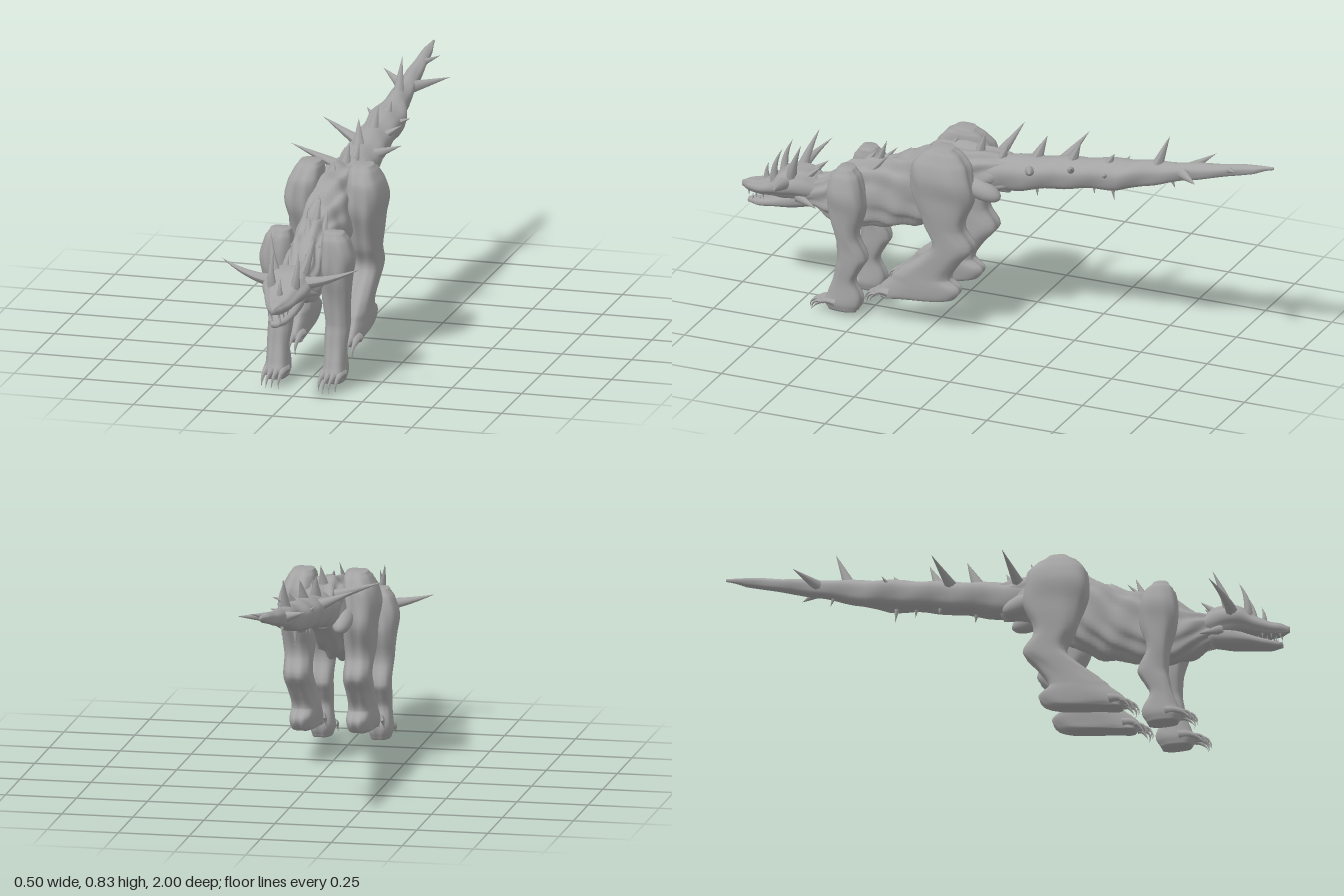
import * as THREE from 'three';

const hide = new THREE.MeshStandardMaterial({ color: 0xa3a3a3 });
hide.name = 'grey hide';

const V = (x, y, z) => new THREE.Vector3(x, y, z);

// Smooth skin through ascending sections [position, low, high, centreX, halfWidth].
// axis 'z': low/high are heights; axis 'y': low/high are depths.
function loft(name, rows, { axis = 'z', steps = 4, n = 40, power = 0.8, shape = () => 1 } = {}) {
  const total = (rows.length - 1) * steps;
  const pos = [], idx = [];
  const sample = (t) => {
    const i = Math.min(Math.floor(t), rows.length - 2), f = t - i;
    const row = (k) => rows[Math.max(0, Math.min(rows.length - 1, k))];
    return rows[0].map((_, c) => {
      const a = row(i - 1)[c], b = row(i)[c], d = row(i + 1)[c], e = row(i + 2)[c];
      if (c === 0) return b + (d - b) * f;
      return b + 0.5 * f * (d - a + f * (2 * a - 5 * b + 4 * d - e + f * (3 * (b - d) + e - a)));
    });
  };
  const bend = (v) => Math.sign(v) * Math.abs(v) ** power;
  const put = (p, x, q) => (axis === 'z' ? pos.push(x, q, p) : pos.push(x, p, q));
  for (let r = 0; r <= total; r++) {
    const [p, lo, hi, cx, w] = sample(r / steps);
    const m = (lo + hi) / 2, h = (hi - lo) / 2;
    for (let j = 0; j < n; j++) {
      const a = (j / n) * Math.PI * 2, k = shape(a, p);
      const s = bend(Math.sin(a)) * h * k;
      put(p, cx + bend(Math.cos(a)) * w * k, axis === 'z' ? m + s : m - s);
    }
  }
  for (let r = 0; r < total; r++) for (let j = 0; j < n; j++) {
    const a = r * n + j, b = r * n + (j + 1) % n;
    idx.push(a, b, a + n, b, b + n, a + n);
  }
  // End caps
  for (const [row, base] of [[rows[0], 0], [rows[rows.length - 1], total * n]]) {
    const c = pos.length / 3;
    put(row[0], row[3], (row[1] + row[2]) / 2);
    for (let j = 0; j < n; j++) {
      const a = base + j, b = base + (j + 1) % n;
      base ? idx.push(c, a, b) : idx.push(c, b, a);
    }
  }
  const g = new THREE.BufferGeometry();
  g.setAttribute('position', new THREE.Float32BufferAttribute(pos, 3));
  g.setIndex(idx);
  g.computeVertexNormals();
  const mesh = new THREE.Mesh(g, hide);
  mesh.name = name;
  return mesh;
}

// Curved tapering spike from base to tip
function horn(name, base, mid, tip, r) {
  const curve = new THREE.QuadraticBezierCurve3(base, mid, tip);
  const segs = 8, sides = 8;
  const g = new THREE.TubeGeometry(curve, segs, r, sides);
  const p = g.attributes.position, v = V(0, 0, 0);
  for (let i = 0; i < p.count; i++) {
    const t = Math.floor(i / (sides + 1)) / segs, c = curve.getPointAt(t);
    v.fromBufferAttribute(p, i).sub(c).multiplyScalar(1.001 - t).add(c);
    p.setXYZ(i, v.x, v.y, v.z);
  }
  g.computeVertexNormals();
  const mesh = new THREE.Mesh(g, hide);
  mesh.name = name;
  return mesh;
}

const spike = (name, b, t, r) => {
  const base = V(...b), tip = V(...t);
  return horn(name, base, base.clone().lerp(tip, 0.5), tip, r);
};

export function createModel() {
  const model = new THREE.Group();
  model.name = 'spikedBeast';

  // Torso with lengthwise folds of hide
  const folds = (a, z) => 1 + 0.06 * Math.sin(a * 9 + 5 * Math.sin(z * 9)) + 0.03 * Math.sin(z * 55 + a * 3);
  model.add(loft('torso', [
    [-0.02, 0.53, 0.65, 0, 0.06], [0.1, 0.5, 0.665, 0, 0.075], [0.2, 0.42, 0.665, 0, 0.075],
    [0.3, 0.36, 0.64, 0, 0.078], [0.4, 0.33, 0.585, 0, 0.078], [0.5, 0.31, 0.555, 0, 0.07],
    [0.6, 0.3, 0.52, 0, 0.068], [0.66, 0.315, 0.475, 0, 0.07], [0.71, 0.34, 0.455, 0, 0.055],
    [0.77, 0.35, 0.44, 0, 0.05]], { n: 64, steps: 6, shape: folds }));

  // Tail
  model.add(loft('tail', [
    [-1, 0.775, 0.785, 0, 0.004], [-0.93, 0.75, 0.78, 0, 0.016], [-0.8, 0.715, 0.762, 0, 0.025],
    [-0.65, 0.675, 0.74, 0, 0.033], [-0.52, 0.635, 0.725, 0, 0.043], [-0.43, 0.608, 0.712, 0, 0.063],
    [-0.3, 0.59, 0.695, 0, 0.06], [-0.15, 0.562, 0.675, 0, 0.066], [0, 0.53, 0.655, 0, 0.068],
    [0.1, 0.51, 0.65, 0, 0.06]], { power: 0.9, shape: (a, z) => 1 + 0.05 * Math.sin(z * 38 + a * 2) + 0.03 * Math.sin(a * 5) }));

  // Tail spikes: base, tip, radius
  [
    [[-0.04, 0.63, 0.05], [-0.215, 0.69, 0.03], 0.022], [[-0.04, 0.65, -0.19], [-0.175, 0.715, -0.23], 0.022],
    [[0.04, 0.63, -0.1], [0.135, 0.66, -0.14], 0.022], [[0.03, 0.65, -0.25], [0.095, 0.69, -0.28], 0.02],
    [[-0.01, 0.71, -0.66], [-0.105, 0.75, -0.74], 0.022], [[0.01, 0.71, -0.66], [0.13, 0.73, -0.76], 0.024],
    [[0.005, 0.75, -0.83], [0.06, 0.768, -0.88], 0.014], [[0, 0.71, -0.56], [0, 0.835, -0.61], 0.022],
    [[0, 0.63, 0.11], [0.01, 0.73, 0.08], 0.025], [[0.01, 0.64, 0.02], [0.02, 0.705, -0.01], 0.02],
    [[-0.01, 0.65, -0.1], [-0.02, 0.745, -0.14], 0.025], [[0, 0.67, -0.24], [0.01, 0.76, -0.28], 0.022],
    [[0.01, 0.69, -0.38], [0.02, 0.74, -0.41], 0.02], [[0.03, 0.66, -0.38], [0.09, 0.68, -0.4], 0.018],
    [[0, 0.63, -0.39], [0, 0.555, -0.4], 0.014], [[-0.01, 0.61, -0.23], [-0.02, 0.56, -0.24], 0.016],
    [[0.01, 0.59, -0.11], [0.02, 0.53, -0.12], 0.016], [[0, 0.63, -0.32], [0.01, 0.57, -0.33], 0.015],
    [[-0.03, 0.66, -0.4], [-0.075, 0.7, -0.43], 0.018], [[0, 0.69, -0.61], [0, 0.64, -0.63], 0.012],
  ].forEach(([b, t, r]) => model.add(spike('tailSpike', b, t, r)));

  // Ridges and spines along the back
  [[0.64, 0.47, 0.52], [0.55, 0.53, 0.58], [0.5, 0.53, 0.635], [0.42, 0.55, 0.615], [0.33, 0.6, 0.655], [0.24, 0.63, 0.69]]
    .forEach(([z, y0, y1], i) => {
      model.add(spike('backSpine', [0, y0 - 0.02, z], [i % 2 ? -0.015 : 0.015, y1, z - 0.05], 0.025));
      for (const s of [-1, 1]) model.add(spike('backRidge', [s * 0.04, y0 - 0.05, z + 0.04], [s * 0.035, y1 - 0.04, z - 0.07], 0.022));
    });

  // Head: skull and lower jaw
  const brow = (a, z) => 1 + 0.05 * Math.cos(a * 6) + 0.03 * Math.sin(z * 70);
  model.add(loft('skull', [
    [0.68, 0.37, 0.44, 0, 0.045], [0.74, 0.365, 0.47, 0, 0.062], [0.79, 0.365, 0.475, 0, 0.08],
    [0.84, 0.365, 0.46, 0, 0.078], [0.88, 0.36, 0.43, 0, 0.062], [0.93, 0.355, 0.405, 0, 0.042],
    [0.97, 0.355, 0.398, 0, 0.027], [1, 0.365, 0.385, 0, 0.006]], { shape: brow }));
  model.add(loft('lowerJaw', [
    [0.72, 0.34, 0.41, 0, 0.045], [0.8, 0.325, 0.39, 0, 0.055], [0.87, 0.318, 0.358, 0, 0.048],
    [0.93, 0.308, 0.338, 0, 0.034], [0.975, 0.31, 0.328, 0, 0.014]]));
  model.add(horn('noseHorn', V(0, 0.38, 0.9), V(0, 0.43, 0.92), V(0, 0.47, 0.9), 0.018));

  for (const s of [-1, 1]) {
    // Horns, cheek spikes and teeth
    model.add(
      horn('sideHorn', V(s * 0.055, 0.43, 0.81), V(s * 0.14, 0.44, 0.82), V(s * 0.25, 0.485, 0.77), 0.024),
      horn('crownHorn', V(s * 0.04, 0.43, 0.8), V(s * 0.065, 0.49, 0.79), V(s * 0.08, 0.59, 0.745), 0.024),
      horn('browHorn', V(s * 0.04, 0.42, 0.86), V(s * 0.05, 0.48, 0.87), V(s * 0.045, 0.55, 0.83), 0.018),
      spike('cheekSpike', [s * 0.045, 0.38, 0.77], [s * 0.075, 0.36, 0.69], 0.02),
      spike('neckSpike', [s * 0.03, 0.44, 0.76], [s * 0.03, 0.5, 0.69], 0.02));
    for (let i = 0; i < 3; i++) {
      const z = 0.97 - i * 0.03, x = s * (0.014 + i * 0.007);
      model.add(spike('upperTooth', [x, 0.365, z], [x, 0.338, z], 0.005));
      model.add(spike('lowerTooth', [x, 0.325, z - 0.015], [x, 0.352, z - 0.015], 0.005));
    }

    // Legs: muscled columns with a seam down the front and back
    const seam = (a, y) => 1 - 0.1 * Math.exp(-((Math.cos(a) / 0.13) ** 2))
      + 0.025 * Math.sin(y * 45 + a * 2) + 0.015 * Math.sin(a * 7 + y * 20);
    const leg = (name, rows) => model.add(loft(name, rows.map(([y, z0, z1, x0, x1]) =>
      [y, z0, z1, s * (x0 + x1) / 2, (x1 - x0) / 2]), { axis: 'y', n: 48, power: 0.75, shape: seam }));

    leg('frontLeg', [
      [0.018, 0.52, 0.63, 0.07, 0.135], [0.045, 0.505, 0.645, 0.062, 0.143], [0.075, 0.505, 0.63, 0.063, 0.143],
      [0.13, 0.53, 0.61, 0.067, 0.14], [0.18, 0.505, 0.6, 0.063, 0.142], [0.22, 0.487, 0.592, 0.06, 0.145],
      [0.3, 0.52, 0.6, 0.055, 0.15], [0.4, 0.495, 0.625, 0.05, 0.16], [0.46, 0.497, 0.628, 0.05, 0.165],
      [0.52, 0.515, 0.615, 0.053, 0.15], [0.55, 0.54, 0.595, 0.06, 0.13]]);
    leg('hindLeg', [
      [0.095, 0.38, 0.43, 0.065, 0.13], [0.115, 0.19, 0.445, 0.06, 0.14], [0.14, 0.14, 0.43, 0.058, 0.143],
      [0.17, 0.13, 0.4, 0.056, 0.143], [0.2, 0.17, 0.37, 0.056, 0.143], [0.27, 0.13, 0.285, 0.058, 0.147],
      [0.33, 0.08, 0.235, 0.058, 0.152], [0.4, 0.12, 0.265, 0.057, 0.157], [0.5, 0.085, 0.3, 0.053, 0.165],
      [0.57, 0.085, 0.315, 0.047, 0.175], [0.63, 0.1, 0.305, 0.047, 0.165], [0.67, 0.135, 0.27, 0.05, 0.145],
      [0.69, 0.165, 0.24, 0.058, 0.13]]);

    // Toes and curved claws
    for (let i = 0; i < 4; i++) {
      const x = s * (0.072 + i * 0.02), f = i === 1 || i === 2 ? 0.015 : 0;
      model.add(
        horn('frontToe', V(x, 0.05, 0.59), V(x, 0.06, 0.65 + f), V(x, 0.012, 0.68 + f), 0.018),
        horn('frontClaw', V(x, 0.045, 0.635), V(x, 0.05, 0.69 + f), V(x, 0.001, 0.68 + f), 0.009),
        horn('hindToe', V(x, 0.12, 0.39), V(x, 0.13, 0.445 + f), V(x, 0.075, 0.465 + f), 0.018),
        horn('hindClaw', V(x, 0.11, 0.43), V(x, 0.11, 0.485 + f), V(x, 0.06, 0.47 + f), 0.009));
    }

    // Flap of hide behind the hip
    const flap = new THREE.Mesh(new THREE.SphereGeometry(1, 20, 14), hide);
    flap.name = 'hipFlap';
    flap.scale.set(0.035, 0.035, 0.075);
    flap.position.set(s * 0.07, 0.54, 0.07);
    flap.rotation.x = -0.3;
    model.add(flap);
  }
  return model;
}
